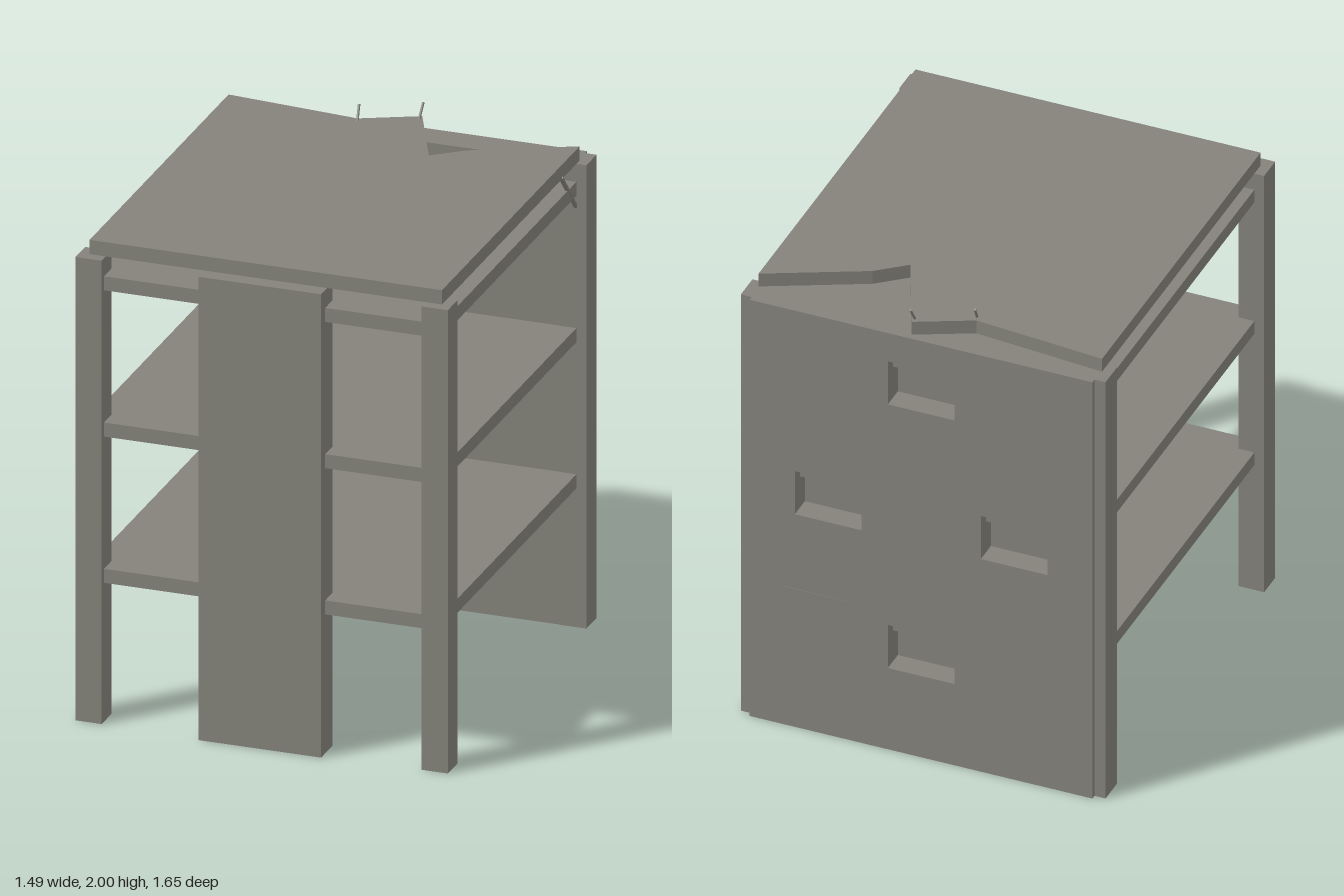
import * as THREE from 'three';

const concrete = new THREE.MeshStandardMaterial({ color: 0x84827a });
concrete.name = 'weathered concrete';

export function createModel() {
  const model = new THREE.Group();
  model.name = 'ruinedTower';

  const add = (name, geometry) => {
    const mesh = new THREE.Mesh(geometry, concrete);
    mesh.name = name;
    model.add(mesh);
    return mesh;
  };

  // Box given by its limits on each axis
  const block = (name, [x0, x1], [y0, y1], [z0, z1]) =>
    add(name, new THREE.BoxGeometry(x1 - x0, y1 - y0, z1 - z0))
      .position.set((x0 + x1) / 2, (y0 + y1) / 2, (z0 + z1) / 2);

  // Thin rod between two points
  const rod = (name, from, to, radius) => {
    const a = new THREE.Vector3(...from), b = new THREE.Vector3(...to);
    const dir = b.clone().sub(a);
    const mesh = add(name, new THREE.CylinderGeometry(radius, radius, dir.length(), 6));
    mesh.position.copy(a).add(b).multiplyScalar(0.5);
    mesh.quaternion.setFromUnitVectors(new THREE.Vector3(0, 1, 0), dir.normalize());
  };

  const height = 1.885;

  // Corner columns and the wide front pillar
  for (const [side, x] of [['left', [0.64, 0.745]], ['right', [-0.745, -0.64]]]) {
    block(side + 'FrontColumn', x, [0, height], [0.7, 0.805]);
    block(side + 'BackColumn', x, [0, height], [-0.805, -0.695]);
  }
  block('frontPillar', [-0.245, 0.245], [0, height], [0.7, 0.825]);

  // Floor slabs
  [0.565, 1.16, 1.755].forEach((y, i) =>
    block('floorSlab' + (i + 1), [-0.705, 0.705], [y, y + 0.057], [-0.72, 0.78]));

  // Back wall in layers; the window recesses step down at the top
  const windows = [[0, 1.757], [0.38, 1.158], [-0.38, 1.158], [0, 0.563]];
  const wallLayer = (name, z0, z1, lowered) => {
    const shape = new THREE.Shape([
      new THREE.Vector2(-0.7, 0), new THREE.Vector2(0.7, 0),
      new THREE.Vector2(0.7, height), new THREE.Vector2(-0.7, height),
    ]);
    for (const [x, top] of windows) {
      const y0 = top - 0.195, y1 = top - lowered;
      shape.holes.push(new THREE.Path([
        new THREE.Vector2(x - 0.136, y0), new THREE.Vector2(x - 0.136, y1),
        new THREE.Vector2(x + 0.136, y1), new THREE.Vector2(x + 0.136, y0),
      ]));
    }
    add(name, new THREE.ExtrudeGeometry(shape, { depth: z1 - z0, bevelEnabled: false }))
      .position.z = z0;
  };
  wallLayer('backWallOuter', -0.825, -0.775, 0);
  wallLayer('backWallMiddle', -0.775, -0.73, 0.055);
  block('backWallInner', [-0.7, 0.7], [0, height], [-0.73, -0.697]);
  block('wallPatch', [0.3, 0.56], [0.305, 0.626], [-0.8265, -0.824]);

  // Roof slab with a broken back edge
  const outline = [
    [-0.705, 0.76], [0.705, 0.76], [0.705, -0.73], [0.32, -0.545],
    [0.205, -0.45], [0.05, -0.8], [-0.17, -0.695], [-0.705, -0.745],
  ].map(([x, z]) => new THREE.Vector2(x, -z));
  const roof = new THREE.ExtrudeGeometry(new THREE.Shape(outline), { depth: 0.058, bevelEnabled: false });
  roof.rotateX(-Math.PI / 2);
  add('roofSlab', roof).position.y = height;

  // Bent reinforcing bars
  rod('rightBar', [-0.162, 1.93, -0.665], [-0.168, 1.998, -0.705], 0.005);
  rod('middleBar', [0.046, 1.93, -0.768], [0.052, 1.998, -0.805], 0.005);
  rod('hangingBar', [0.7, 1.89, -0.54], [0.7, 1.71, -0.7], 0.009);

  return model;
}
